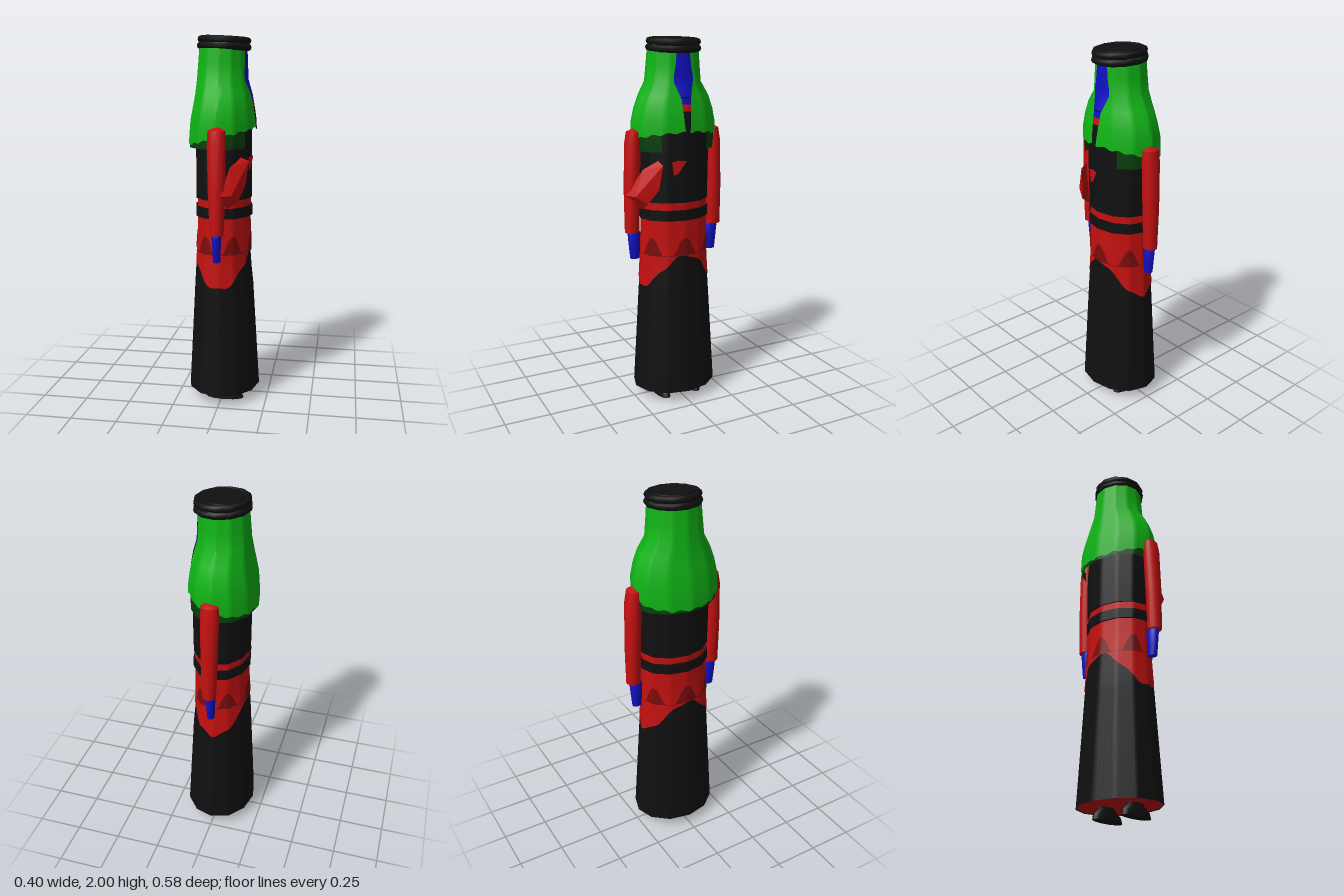
import * as THREE from 'three';
import { toCreasedNormals } from 'three/addons/utils/BufferGeometryUtils.js';
import { ConvexGeometry } from 'three/addons/geometries/ConvexGeometry.js';

const material = (name, color) => {
  const m = new THREE.MeshStandardMaterial({ color, side: THREE.DoubleSide });
  m.name = name;
  return m;
};

// Point on a unit 12-sided ring
function ringPoint(t) {
  const step = Math.PI / 6, k = Math.floor(t / step + 1e-6), f = t / step - k;
  const a = k * step, b = a + step;
  return [
    Math.cos(a) * (1 - f) + Math.cos(b) * f,
    Math.sin(a) * (1 - f) + Math.sin(b) * f,
  ];
}

// Interpolated section [y, cx, cz, rx, rz] of a profile
function sectionAt(profile, y) {
  let i = 0;
  while (i < profile.length - 2 && y > profile[i + 1][0]) i++;
  const p = profile[i], q = profile[i + 1];
  const f = THREE.MathUtils.clamp((y - p[0]) / (q[0] - p[0]), 0, 1);
  return p.map((v, k) => v + (q[k] - v) * f);
}

// Skin over a profile, trimmed below and above by functions of the angle
function skin(profile, { lo = () => -9, hi = () => 9, from = 0, to = Math.PI * 2, out = 0, segments = 72 } = {}) {
  const pos = [], index = [], n = profile.length;
  const y0 = profile[0][0], y1 = profile[n - 1][0];
  for (let i = 0; i <= segments; i++) {
    const t = from + (to - from) * i / segments;
    const [ux, uz] = ringPoint(t);
    const bottom = Math.max(y0, lo(t)), top = Math.max(bottom, Math.min(y1, hi(t)));
    for (let j = 0; j < n; j++) {
      const trimmed = THREE.MathUtils.clamp(profile[j][0], bottom, top);
      const s = sectionAt(profile, trimmed);
      // keep the exact row so that closed ends stay closed
      const [y, cx, cz, rx, rz] = trimmed === profile[j][0] ? profile[j] : s;
      pos.push(cx + ux * (rx + out), y, cz + uz * (rz + out));
      if (i < segments && j < n - 1) {
        const a = i * n + j, b = a + n;
        index.push(a, a + 1, b, b, a + 1, b + 1);
      }
    }
  }
  const g = new THREE.BufferGeometry();
  g.setAttribute('position', new THREE.Float32BufferAttribute(pos, 3));
  g.setIndex(index);
  return toCreasedNormals(g, 0.7);
}

export function createModel() {
  const group = new THREE.Group();
  const black = material('black cloth', 0x101010);
  const red = material('red cloth', 0xc41010);
  const darkRed = material('dark red cloth', 0x7c0b0b);
  const green = material('green cloth', 0x10b416);
  const darkGreen = material('dark green trim', 0x07400c);
  const blue = material('blue skin', 0x1010c4);
  const add = (name, geometry, mat) => {
    const mesh = new THREE.Mesh(geometry, mat);
    mesh.name = name;
    group.add(mesh);
    return mesh;
  };
  const flat = (y) => () => y;

  // Long robe, tunic and bodice share one body profile
  const body = [
    [0.06, 0, 0, 0.2, 0.24], [0.66, -0.003, 0, 0.165, 0.203], [0.74, -0.005, 0, 0.158, 0.197],
    [0.845, -0.005, 0, 0.15, 0.192], [0.93, -0.003, 0, 0.146, 0.19], [1.04, -0.003, 0, 0.144, 0.188],
    [1.145, -0.003, 0, 0.144, 0.188],
  ];
  const hem = (t) => 0.66 + 0.185 * Math.pow(Math.abs(Math.cos(t)), 2.2) + 0.008 * Math.sin(9 * t);
  const hills = (t) => 0.848 + 0.1 * Math.max(0, 0.35 + 0.65 * Math.cos(6 * t));
  add('robe', skin(body, { hi: flat(0.87) }), black);
  add('tunic', skin(body, { lo: hem, out: 0.004 }), red);
  add('tunicFolds', skin(body, { lo: flat(0.845), hi: hills, out: 0.007 }), darkRed);
  add('bodice', skin([
    [1.135, -0.004, 0, 0, 0], [1.14, -0.004, 0, 0.155, 0.195], [1.4, -0.004, 0, 0.155, 0.2],
    [1.54, 0, 0, 0.148, 0.19], [1.58, 0, 0, 0.11, 0.13],
  ]), black);
  add('belt', skin([
    [1.04, -0.003, 0, 0.14, 0.18], [1.042, -0.003, 0, 0.157, 0.198],
    [1.098, -0.003, 0, 0.157, 0.198], [1.1, -0.003, 0, 0.14, 0.18],
  ]), black);
  add('robeLining', skin([[0.064, 0, 0, 0.196, 0.236], [0.072, 0, 0, 0, 0]]), red);

  // Head scarf with sloping ragged hem
  const scarf = [
    [1.4, -0.015, 0, 0.185, 0.235], [1.47, -0.012, 0, 0.184, 0.24], [1.56, -0.01, 0, 0.178, 0.24],
    [1.63, -0.008, 0, 0.166, 0.225], [1.7, -0.008, 0, 0.153, 0.198], [1.77, -0.014, 0, 0.138, 0.155],
    [1.86, -0.012, 0, 0.132, 0.146], [1.96, -0.01, 0, 0.126, 0.138],
  ];
  const ragged = (t) => 1.472 + 0.045 * Math.cos(t) + 0.006 * Math.sin(17 * t);
  add('scarf', skin(scarf, { lo: ragged }), green);
  add('scarfTrim', skin(scarf, {
    lo: flat(1.415), hi: (t) => ragged(t) + 0.01, from: 0.62, to: Math.PI * 2 - 0.62, out: -0.007,
  }), darkGreen);

  // Face opening: outline of half widths laid just over the scarf front
  const frontPlate = (name, outline, mat) => {
    const pos = [], index = [];
    outline.forEach(([y, w], i) => {
      const [, cx, , rx, rz] = sectionAt(scarf, y);
      for (const z of [-w, 0, w]) pos.push(cx + rx + 0.005 - Math.abs(z) * 0.268 * rx / rz, y, z);
      if (i) for (const k of [0, 1]) {
        const a = (i - 1) * 3 + k;
        index.push(a, a + 3, a + 1, a + 1, a + 3, a + 4);
      }
    });
    const g = new THREE.BufferGeometry();
    g.setAttribute('position', new THREE.Float32BufferAttribute(pos, 3));
    g.setIndex(index);
    g.computeVertexNormals();
    add(name, g, mat);
  };
  frontPlate('face', [[1.695, 0.03], [1.77, 0.054], [1.8, 0.055], [1.86, 0.044], [1.925, 0.038]], blue);
  frontPlate('throatCloth', [[1.69, 0.028], [1.697, 0.03]], black);
  frontPlate('throat', [[1.66, 0.025], [1.69, 0.027]], blue);
  frontPlate('collar', [[1.625, 0.024], [1.66, 0.025]], red);
  frontPlate('scarfSlit', [[1.51, 0.012], [1.56, 0.018], [1.625, 0.022]], black);

  // Double head cord and cap, tilted slightly forward
  const headband = new THREE.Group();
  headband.name = 'headband';
  headband.position.set(-0.003, 1.963, 0);
  headband.rotation.z = -0.05;
  for (const [y, r] of [[-0.02, 0.129], [0.013, 0.126]]) {
    const cord = new THREE.Mesh(new THREE.TorusGeometry(r, 0.019, 8, 12), black);
    cord.name = 'headCord';
    cord.rotation.x = Math.PI / 2;
    cord.position.y = y;
    headband.add(cord);
  }
  const cap = new THREE.Mesh(new THREE.CylinderGeometry(0.108, 0.125, 0.06, 12), black);
  cap.name = 'cap';
  cap.position.y = 0.002;
  headband.add(cap);
  group.add(headband);

  // Sleeves, hands and shoes on both sides
  for (const s of [1, -1]) {
    const side = s > 0 ? 'left' : 'right';
    add(side + 'Sleeve', skin([
      [0.97, 0, s * 0.25, 0, 0], [0.971, -0.002, s * 0.25, 0.037, 0.04], [1.2, -0.003, s * 0.248, 0.046, 0.043],
      [1.45, -0.005, s * 0.24, 0.05, 0.043], [1.515, -0.005, s * 0.235, 0.046, 0.036], [1.535, 0, s * 0.23, 0, 0],
    ], { segments: 24 }), red);
    add(side + 'Hand', skin([
      [0.82, -0.005, s * 0.235, 0, 0], [0.821, -0.005, s * 0.235, 0.02, 0.026],
      [0.88, -0.005, s * 0.235, 0.022, 0.033], [0.958, -0.005, s * 0.238, 0.026, 0.037],
      [0.975, -0.005, s * 0.238, 0.02, 0.03],
    ], { segments: 24 }), blue);
    add(side + 'Shoe', skin([
      [0, 0.018, s * 0.095, 0, 0], [0.001, 0.018, s * 0.095, 0.106, 0.042],
      [0.03, 0.015, s * 0.095, 0.098, 0.04], [0.06, 0.01, s * 0.095, 0.06, 0.03], [0.12, 0, s * 0.095, 0.05, 0.028],
    ], { segments: 24 }), black);
  }

  // Bent fold of the left sleeve against the chest
  const v = (x, y, z) => new THREE.Vector3(x, y, z);
  add('sleeveFold', new ConvexGeometry([
    v(0.045, 1.1, 0.21), v(0.02, 1.18, 0.29), v(0.075, 1.18, 0.26), v(0.06, 1.32, 0.21),
    v(0.11, 1.37, 0.145), v(0.152, 1.35, 0.135), v(0.135, 1.22, 0.15), v(0.1, 1.14, 0.2),
  ]), red);
  // Small chest patch
  const patch = new THREE.Shape([[-0.08, 1.36], [-0.07, 1.29], [-0.045, 1.3], [0, 1.365], [-0.05, 1.37]]
    .map(([x, y]) => new THREE.Vector2(x, y)));
  const chest = add('chestPatch', new THREE.ShapeGeometry(patch), red);
  chest.rotation.y = Math.PI / 2 - 0.2;
  chest.position.x = 0.157;
  return group;
}
